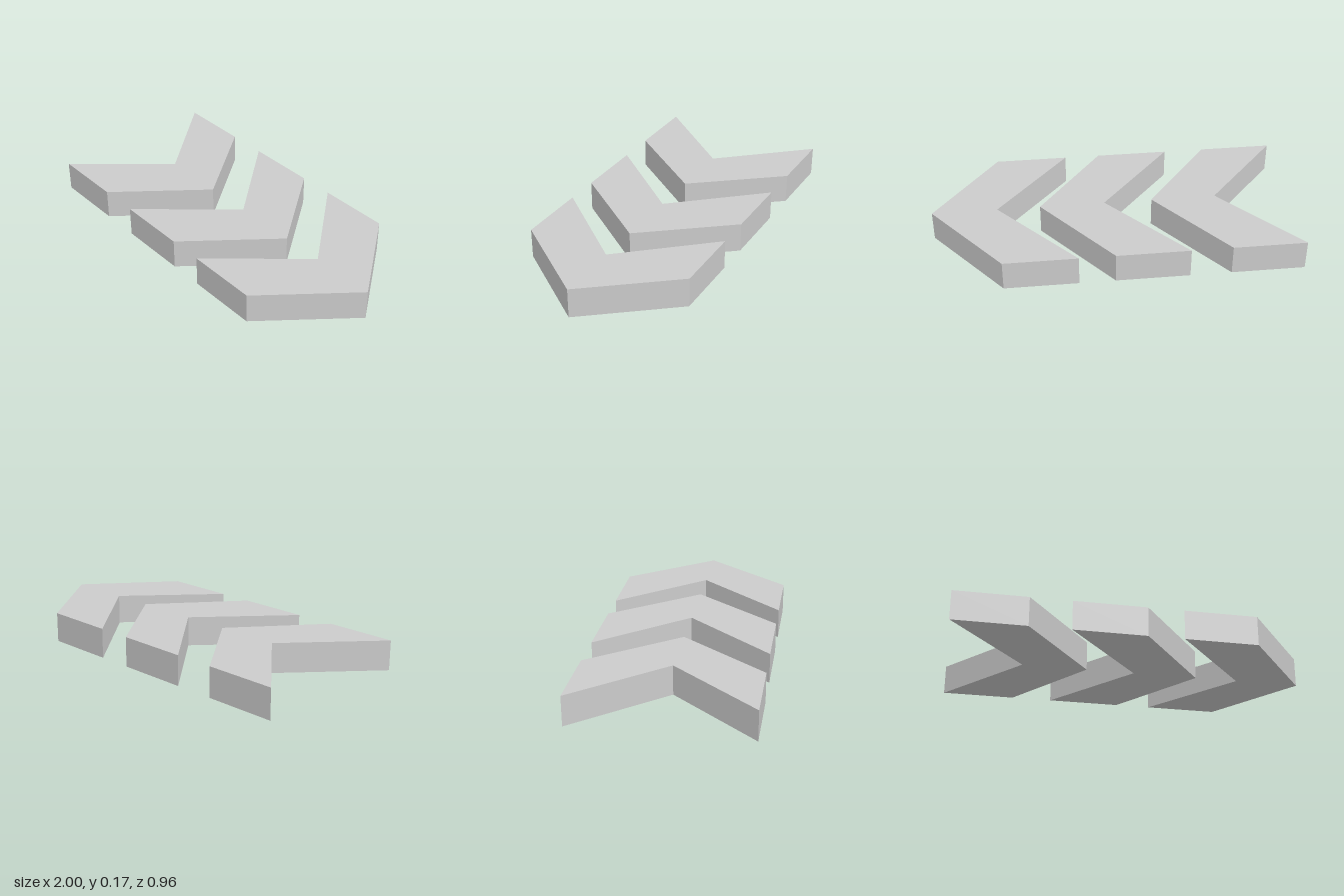
import * as THREE from 'three';

const HEIGHT = 0.168;
const HALF_DEPTH = 0.48;
const ARM = 0.402;   // width of each arm end
const NOTCH = 0.415; // inner corner, from the rear edge
const TIP = 0.775;   // outer point, from the rear edge

export function createModel() {
  const group = new THREE.Group();
  group.name = 'chevronArrows';

  // Chevron outline pointing to +x, extruded and laid flat
  const outline = new THREE.Shape([
    [0, -HALF_DEPTH], [ARM, -HALF_DEPTH], [TIP, 0],
    [ARM, HALF_DEPTH], [0, HALF_DEPTH], [NOTCH, 0],
  ].map(([x, y]) => new THREE.Vector2(x, y)));
  const geometry = new THREE.ExtrudeGeometry(outline, { depth: HEIGHT, bevelEnabled: false });
  geometry.rotateX(-Math.PI / 2);

  const material = new THREE.MeshStandardMaterial({ color: 0xcccccc, flatShading: true });

  // Three chevrons in a row
  const rearEdges = { rightChevron: -1, middleChevron: -0.373, leftChevron: 0.225 };
  for (const [name, x] of Object.entries(rearEdges)) {
    const chevron = new THREE.Mesh(geometry, material);
    chevron.name = name;
    chevron.position.x = x;
    group.add(chevron);
  }
  return group;
}
